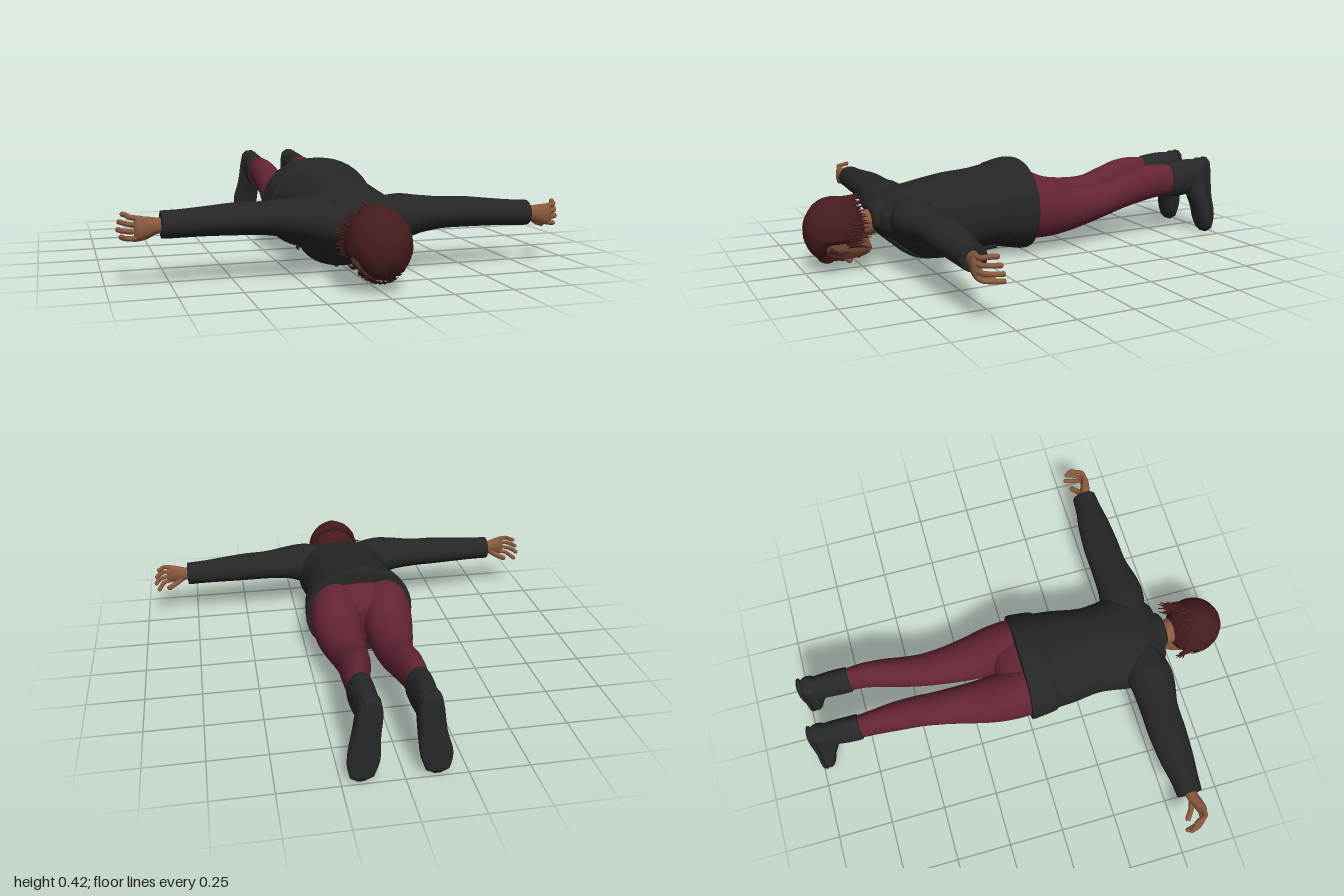
import * as THREE from 'three';

const mat = (name, color) => Object.assign(new THREE.MeshStandardMaterial({ color }), { name });

// Loft of ellipses along one axis. Section: [t, a, b, ra, rb], where a and b are
// the two following axes in cyclic order (z: x,y / x: y,z / y: z,x).
function loft(axis, sections, { seg = 28, steps = 4, power = 2 } = {}) {
  const secs = [...sections].sort((p, q) => p[0] - q[0]);
  const cr = (a, b, c, d, f) => {
    const m0 = (c - a) / 2, m1 = (d - b) / 2;
    return (2 * f ** 3 - 3 * f * f + 1) * b + (f ** 3 - 2 * f * f + f) * m0
      + (-2 * f ** 3 + 3 * f * f) * c + (f ** 3 - f * f) * m1;
  };
  const rings = [], n = secs.length;
  for (let i = 0; i < n - 1; i++) {
    for (let k = 0; k < steps; k++) {
      const P = [Math.max(i - 1, 0), i, i + 1, Math.min(i + 2, n - 1)].map(q => secs[q]);
      rings.push(P[0].map((_, c) => c === 0
        ? P[1][0] + (P[2][0] - P[1][0]) * k / steps
        : cr(P[0][c], P[1][c], P[2][c], P[3][c], k / steps)));
    }
  }
  rings.push(secs[n - 1]);
  const pos = [], idx = [];
  const put = (t, a, b) => pos.push(...{ x: [t, a, b], y: [b, t, a], z: [a, b, t] }[axis]);
  const bend = v => Math.sign(v) * Math.abs(v) ** (2 / power);
  for (const [t, a, b, ra, rb] of rings) {
    for (let j = 0; j < seg; j++) {
      const th = j / seg * Math.PI * 2;
      put(t, a + ra * bend(Math.cos(th)), b + rb * bend(Math.sin(th)));
    }
  }
  for (let i = 0; i < rings.length - 1; i++) {
    for (let j = 0; j < seg; j++) {
      const p = i * seg + j, q = i * seg + (j + 1) % seg;
      idx.push(p, q, p + seg, q, q + seg, p + seg);
    }
  }
  // end caps
  const first = rings[0], last = rings[rings.length - 1], c0 = rings.length * seg, base = c0 - seg;
  put(first[0], first[1], first[2]);
  put(last[0], last[1], last[2]);
  for (let j = 0; j < seg; j++) {
    const k = (j + 1) % seg;
    idx.push(c0, k, j, c0 + 1, base + j, base + k);
  }
  const g = new THREE.BufferGeometry();
  g.setAttribute('position', new THREE.Float32BufferAttribute(pos, 3));
  g.setIndex(idx);
  g.computeVertexNormals();
  return g;
}

const tube = (pts, r, n = 14) => new THREE.TubeGeometry(
  new THREE.CatmullRomCurve3(pts.map(p => new THREE.Vector3(...p))), n, r, 8);

export function createModel() {
  const root = new THREE.Group();
  root.name = 'lyingFigure';
  const jacket = mat('jacket black', 0x262626), pants = mat('trouser maroon', 0x642434);
  const boots = mat('boot charcoal', 0x27282a), skin = mat('skin brown', 0x8a5a3e);
  const hair = mat('hair dark red', 0x451c1d), dark = mat('eye dark', 0x1c1412);
  const lips = mat('lip brown', 0x70402f);
  const add = (name, geo, m, parent = root) => {
    const mesh = new THREE.Mesh(geo, m);
    mesh.name = name;
    parent.add(mesh);
    return mesh;
  };
  const ball = (name, m, p, r, parent) => {
    const b = add(name, new THREE.SphereGeometry(1, 14, 10), m, parent);
    b.position.set(...p);
    b.scale.set(...r);
    return b;
  };
  let seed = 7;
  const rnd = () => (seed = (seed * 16807) % 2147483647) / 2147483647;

  // Jacket: body, loose hem, collar
  add('jacketBody', loft('z', [
    [0.02, 0, 0.22, 0.232, 0.19], [0.12, 0, 0.22, 0.23, 0.185], [0.22, 0, 0.212, 0.222, 0.178],
    [0.34, 0, 0.198, 0.203, 0.185], [0.42, 0, 0.19, 0.21, 0.18], [0.5, 0, 0.19, 0.225, 0.163],
    [0.58, 0, 0.205, 0.225, 0.128], [0.64, 0, 0.215, 0.2, 0.09], [0.685, 0, 0.215, 0.13, 0.06],
    [0.7, 0, 0.215, 0.06, 0.04]], { seg: 40, power: 2.25 }), jacket);
  add('jacketHem', loft('z', [
    [0.0, 0, 0.217, 0.235, 0.195], [0.003, 0, 0.217, 0.25, 0.21], [0.05, 0, 0.22, 0.248, 0.207],
    [0.12, 0, 0.22, 0.24, 0.192], [0.14, 0, 0.22, 0.222, 0.176]], { seg: 40, power: 2.2 }), jacket);
  add('collar', loft('z', [
    [0.62, 0, 0.215, 0.14, 0.095], [0.67, 0, 0.217, 0.105, 0.075],
    [0.705, 0, 0.222, 0.083, 0.06], [0.715, 0, 0.222, 0.068, 0.048]]), jacket);
  for (const s of [1, -1]) {
    add('jacketFrontEdge', tube([[s * 0.02, 0.03, 0.03], [s * 0.025, 0.036, 0.2], [s * 0.03, 0.017, 0.37],
      [s * 0.05, 0.035, 0.5], [s * 0.08, 0.085, 0.59], [s * 0.09, 0.15, 0.66]], 0.013), jacket);
    add('pocketEdge', tube([[s * 0.12, 0.053, 0.16], [s * 0.145, 0.056, 0.23], [s * 0.15, 0.06, 0.29]], 0.01), jacket);
  }

  // Arms, spread sideways, with curled hands
  for (const s of [1, -1]) {
    const arm = new THREE.Group();
    arm.name = s > 0 ? 'leftArm' : 'rightArm';
    root.add(arm);
    const lift = x => -s * 0.016 * x;
    const along = secs => secs.map(([x, y, ...r]) => [s * x, y + lift(x), ...r]);
    add('sleeve', loft('x', along([
      [0.08, 0.22, 0.57, 0.1, 0.085], [0.19, 0.235, 0.572, 0.098, 0.105], [0.27, 0.245, 0.573, 0.08, 0.1],
      [0.38, 0.247, 0.562, 0.067, 0.087], [0.5, 0.247, 0.56, 0.064, 0.085], [0.62, 0.242, 0.562, 0.058, 0.076],
      [0.72, 0.237, 0.565, 0.055, 0.062], [0.785, 0.235, 0.565, 0.054, 0.056],
      [0.787, 0.235, 0.565, 0.042, 0.045]])), jacket, arm);
    add('palm', loft('x', along([
      [0.75, 0.235, 0.565, 0.03, 0.028], [0.8, 0.233, 0.573, 0.032, 0.026], [0.84, 0.23, 0.586, 0.042, 0.024],
      [0.875, 0.23, 0.595, 0.045, 0.018], [0.89, 0.23, 0.592, 0.036, 0.009]]), { seg: 18 }), skin, arm);
    for (let i = 0; i < 4; i++) {
      const o = (i - 1.5) * 0.024, tip = 0.947 - 0.012 * Math.abs(i - 1.3);
      const y = 0.23 + lift(0.9);
      const end = [s * tip, y + o * 1.3, 0.515 + 0.008 * i];
      add('finger', tube([[s * 0.865, y + o, 0.594], [s * 0.905, y + o * 1.15, 0.588],
        [s * (tip - 0.012), y + o * 1.25, 0.56], end], 0.0105, 10), skin, arm);
      ball('fingerTip', skin, end, [0.0105, 0.0105, 0.0105], arm);
    }
    const ty = lift(0.85);
    const end = [s * 0.882, 0.178 + ty, 0.535];
    add('thumb', tube([[s * 0.805, 0.215 + ty, 0.57], [s * 0.845, 0.19 + ty, 0.56], end], 0.013, 8), skin, arm);
    ball('thumbTip', skin, end, [0.013, 0.013, 0.013], arm);
  }

  // Trousers
  add('hips', loft('z', [
    [0.1, 0, 0.22, 0.2, 0.15], [0.02, 0, 0.222, 0.228, 0.15], [-0.04, 0, 0.215, 0.226, 0.135],
    [-0.085, 0, 0.21, 0.19, 0.11], [-0.11, 0, 0.205, 0.12, 0.07]], { seg: 36, power: 2.2 }), pants);
  for (const s of [1, -1]) {
    const side = s > 0 ? 'left' : 'right';
    const out = (z, x) => s * x + 0.02 * Math.min(1, Math.max(0, -z / 0.7));
    add(side + 'Leg', loft('z', [
      [0.06, 0.11, 0.22, 0.1, 0.13], [0, 0.117, 0.222, 0.114, 0.15], [-0.1, 0.117, 0.207, 0.113, 0.137],
      [-0.2, 0.112, 0.192, 0.103, 0.11], [-0.32, 0.103, 0.197, 0.088, 0.09], [-0.42, 0.099, 0.212, 0.077, 0.08],
      [-0.5, 0.1, 0.237, 0.071, 0.082], [-0.6, 0.108, 0.265, 0.064, 0.085], [-0.7, 0.116, 0.279, 0.054, 0.08],
      [-0.79, 0.117, 0.277, 0.048, 0.073]].map(([z, x, ...r]) => [z, out(z, x), ...r])), pants);

    // Boots with toes pointing down
    const boot = new THREE.Group();
    boot.name = side + 'Boot';
    root.add(boot);
    add('shaft', loft('z', [
      [-0.765, 0.117, 0.276, 0.047, 0.072], [-0.77, 0.117, 0.276, 0.055, 0.083], [-0.83, 0.117, 0.279, 0.054, 0.088],
      [-0.89, 0.115, 0.284, 0.05, 0.086], [-0.95, 0.115, 0.285, 0.046, 0.076], [-0.97, 0.115, 0.285, 0.04, 0.06],
    ].map(([z, x, ...r]) => [z, out(-1, x), ...r])), boots, boot);
    add('foot', loft('y', [
      [0.008, -0.968, 0.15, 0.014, 0.022], [0.025, -0.966, 0.148, 0.026, 0.044], [0.07, -0.96, 0.144, 0.034, 0.059],
      [0.13, -0.953, 0.137, 0.041, 0.06], [0.2, -0.938, 0.126, 0.055, 0.053], [0.27, -0.935, 0.118, 0.06, 0.049],
      [0.34, -0.945, 0.115, 0.05, 0.045], [0.368, -0.958, 0.115, 0.024, 0.028],
    ].map(([y, z, x, ...r]) => [y, z, out(-1, x), ...r])), boots, boot);
    add('sole', loft('y', [
      [0.004, -0.975, 0.15, 0.008, 0.02], [0.025, -0.983, 0.148, 0.013, 0.047], [0.1, -0.987, 0.142, 0.013, 0.064],
      [0.2, -0.985, 0.128, 0.012, 0.052], [0.3, -0.987, 0.117, 0.013, 0.048], [0.355, -0.986, 0.115, 0.013, 0.038],
      [0.373, -0.984, 0.115, 0.008, 0.018],
    ].map(([y, z, x, ...r]) => [y, z, out(-1, x), ...r]), { power: 2.5 }), boots, boot);
  }

  // Head, face pointing down
  const head = new THREE.Group();
  head.name = 'head';
  head.position.x = -0.006;
  root.add(head);
  add('neck', loft('z', [[0.62, 0, 0.21, 0.075, 0.055], [0.7, 0, 0.2, 0.058, 0.055],
    [0.8, 0, 0.19, 0.06, 0.065]]), skin, head);
  add('face', loft('z', [
    [0.708, 0, 0.088, 0.018, 0.014], [0.722, 0, 0.1, 0.045, 0.038], [0.75, 0, 0.122, 0.07, 0.07],
    [0.79, 0, 0.145, 0.087, 0.098], [0.84, 0, 0.158, 0.098, 0.112], [0.89, 0, 0.168, 0.103, 0.117],
    [0.94, 0, 0.178, 0.088, 0.1], [0.975, 0, 0.185, 0.05, 0.06]]), skin, head);
  ball('nose', skin, [0, 0.043, 0.805], [0.018, 0.018, 0.016], head);
  ball('noseBridge', skin, [0, 0.049, 0.832], [0.01, 0.012, 0.03], head);
  ball('mouth', lips, [0, 0.054, 0.766], [0.028, 0.009, 0.01], head);
  for (const s of [1, -1]) {
    ball('eye', dark, [s * 0.038, 0.057, 0.847], [0.016, 0.006, 0.007], head);
    add('eyebrow', tube([[s * 0.018, 0.05, 0.867], [s * 0.04, 0.056, 0.873], [s * 0.06, 0.07, 0.866]], 0.004, 6), hair, head);
    ball('ear', skin, [s * 0.098, 0.168, 0.82], [0.014, 0.024, 0.032], head);
  }

  // Hair: a cap pulled inward over the face, with ragged locks at its edge
  const cap = new THREE.SphereGeometry(1, 40, 28), p = cap.attributes.position;
  const smooth = THREE.MathUtils.smoothstep;
  for (let i = 0; i < p.count; i++) {
    const x = p.getX(i), y = p.getY(i), z = p.getZ(i);
    const inFace = smooth(-y, 0.2, 0.5) * (1 - smooth(z, 0.3, 0.55));
    const k = (1 - 0.35 * inFace) * (1 + 0.012 * Math.sin(9 * x + 5 * z) * Math.sin(8 * y));
    p.setXYZ(i, x * 0.13 * k, 0.182 + y * 0.146 * k, 0.868 + z * 0.131 * k);
  }
  cap.computeVertexNormals();
  add('hairCap', cap, hair, head);
  const lock = (a, b, c, r) => {
    const g = tube([a, b, c], r, 6), q = g.attributes.position;
    // taper each lock towards its end
    for (let i = 0; i < q.count; i++) {
      const t = Math.floor(i / 9) / 6, o = g.parameters.path.getPointAt(t);
      const v = new THREE.Vector3().fromBufferAttribute(q, i).lerp(o, t * 0.9);
      q.setXYZ(i, v.x, v.y, v.z);
    }
    add('hairLock', g, hair, head);
  };
  for (let i = 0; i < 46; i++) {
    const th = -0.45 + (Math.PI + 0.9) * (i + rnd() * 0.8) / 46;
    const c = Math.cos(th), d = Math.sin(th), e = 0.95 + rnd() * 0.2, z = 0.74 + rnd() * 0.035;
    lock([c * 0.112, 0.185 + d * 0.122, 0.83 + rnd() * 0.02], [c * 0.122, 0.185 + d * 0.132, 0.79],
      [c * 0.125 * e + (rnd() - 0.5) * 0.03, 0.185 + d * 0.128 * e, z], 0.013);
  }
  for (let i = 0; i < 14; i++) {
    const u = -1 + 2 * (i + rnd() * 0.6) / 13.6, y = 0.052 + 0.06 * u * u;
    lock([u * 0.1, y + 0.012, 0.935 - 0.02 * u * u], [u * 0.107, y - 0.008, 0.91 - 0.03 * u * u],
      [u * 0.11 + (rnd() - 0.5) * 0.02, y - 0.004, 0.885 - 0.05 * u * u], 0.013);
  }
  return root;
}
